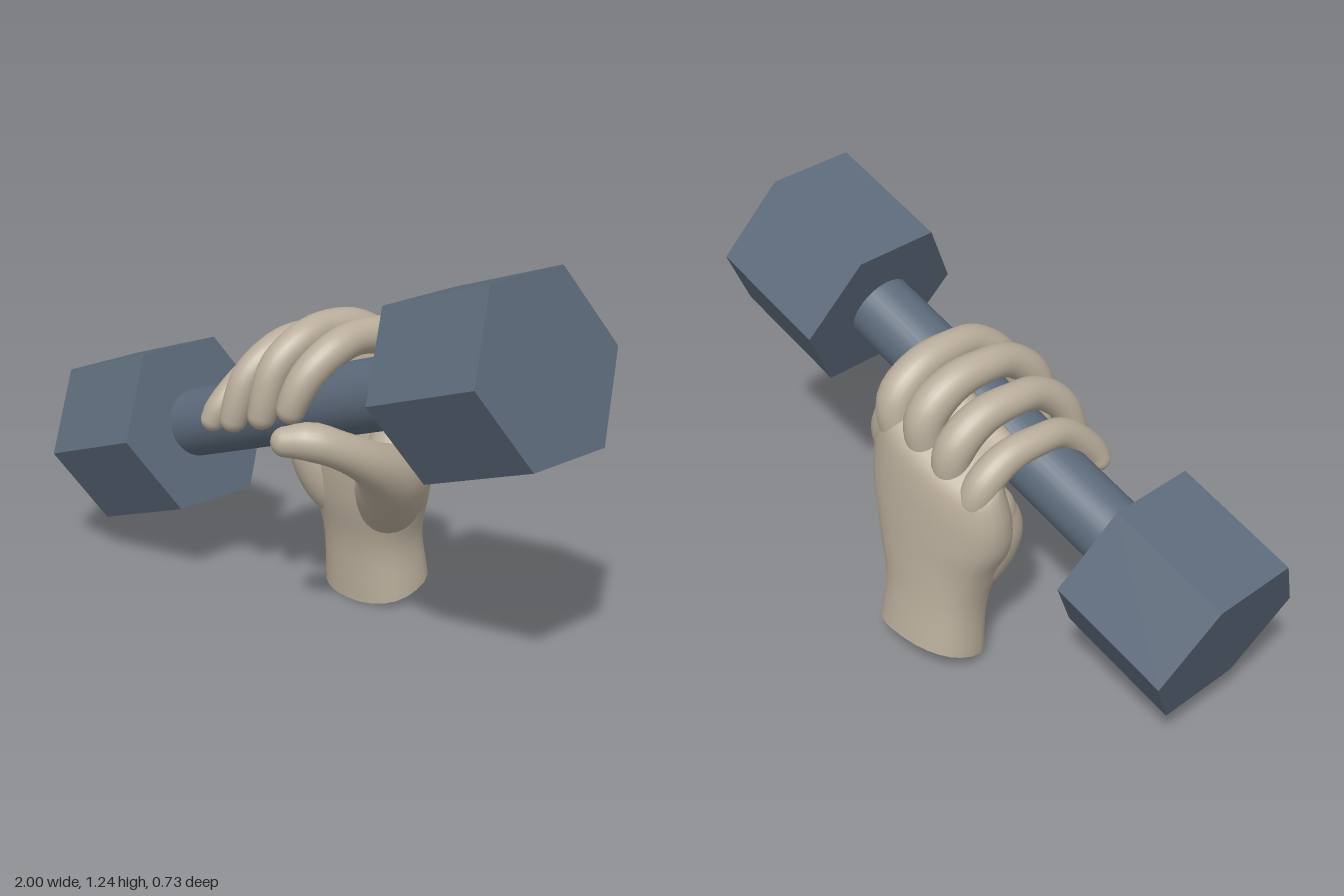
import * as THREE from 'three';

const V = (x, y, z) => new THREE.Vector3(x, y, z);
const SIDES = 24;

const steel = new THREE.MeshStandardMaterial({ color: 0x5c6a7a });
const steelFlat = new THREE.MeshStandardMaterial({ color: 0x5c6a7a, flatShading: true });
const skin = new THREE.MeshStandardMaterial({ color: 0xb9ad9b });

function addMesh(parent, name, geometry, material) {
  const mesh = new THREE.Mesh(geometry, material);
  mesh.name = name;
  parent.add(mesh);
  return mesh;
}

// One cross-section: centre c, half-axes u and v, power below 1 squares the ellipse
function ring(c, u, v, power = 1) {
  const shape = (t) => Math.sign(t) * Math.abs(t) ** power;
  return Array.from({ length: SIDES }, (_, j) => {
    const a = (j / SIDES) * Math.PI * 2;
    return c.clone().addScaledVector(u, shape(Math.cos(a))).addScaledVector(v, shape(Math.sin(a)));
  });
}

// Smooth skin over a list of rings
function loft(rings) {
  const index = [];
  for (let i = 0; i < rings.length - 1; i++) {
    for (let j = 0; j < SIDES; j++) {
      const k = (j + 1) % SIDES;
      const a = i * SIDES + j, b = i * SIDES + k;
      index.push(a, a + SIDES, b, b, a + SIDES, b + SIDES);
    }
  }
  const geometry = new THREE.BufferGeometry().setFromPoints(rings.flat());
  geometry.setIndex(index);
  geometry.computeVertexNormals();
  return geometry;
}

// Tapered tube with a rounded tip; each point is [x, y, z, radius]
function digit(points, steps = 28) {
  const path = new THREE.CatmullRomCurve3(points.map((p) => V(p[0], p[1], p[2])));
  const radii = new THREE.CatmullRomCurve3(points.map((p, i) => V(i, p[3], 0)), false, 'catmullrom', 0.5);
  const frames = path.computeFrenetFrames(steps, false);
  const rings = [];
  const put = (i, centre, r) =>
    rings.push(ring(centre, frames.normals[i].clone().multiplyScalar(r), frames.binormals[i].clone().multiplyScalar(-r)));
  for (let i = 0; i <= steps; i++) {
    const t = path.getUtoTmapping(i / steps);
    put(i, path.getPoint(t), radii.getPoint(t).y);
  }
  const end = points[points.length - 1];
  for (let k = 1; k <= 6; k++) {
    const a = (k / 6) * Math.PI / 2;
    const centre = V(end[0], end[1], end[2]).addScaledVector(frames.tangents[steps], end[3] * Math.sin(a));
    put(steps, centre, Math.max(end[3] * Math.cos(a), 0.0005));
  }
  return loft(rings);
}

function makeDumbbell() {
  const dumbbell = new THREE.Group();
  dumbbell.name = 'dumbbell';
  const bar = addMesh(dumbbell, 'bar', new THREE.CylinderGeometry(0.108, 0.108, 1.2, 32), steel);
  bar.rotation.z = -Math.PI / 2;
  for (const side of [-1, 1]) {
    const head = addMesh(dumbbell, side > 0 ? 'leftWeight' : 'rightWeight',
      new THREE.CylinderGeometry(0.29, 0.29, 0.411, 6), steelFlat);
    head.rotation.z = -Math.PI / 2;
    head.position.x = side * 0.761;
  }
  dumbbell.position.set(0, 0.68, 0.055);
  dumbbell.rotation.set(0, 0.02, 0.338);
  return dumbbell;
}

// Wrist and palm: [x, y, z, halfWidth, halfDepth, roll, pitch]
function palmRings() {
  const stations = [
    [-0.01, 0.045, -0.238, 0.18, 0.135, 0, 0.34],
    [-0.013, 0.21, -0.222, 0.176, 0.122, 0, 0.2],
    [-0.005, 0.35, -0.2, 0.215, 0.13, 0.05, 0.05],
    [-0.01, 0.49, -0.19, 0.262, 0.13, 0.14, 0],
    [-0.02, 0.62, -0.195, 0.268, 0.112, 0.25, 0],
    [-0.025, 0.735, -0.2, 0.25, 0.085, 0.33, -0.35],
    [-0.025, 0.81, -0.165, 0.225, 0.056, 0.37, -0.9],
    [-0.025, 0.83, -0.11, 0.2, 0.038, 0.37, -1.3],
  ];
  const curve = (a, b, c) => new THREE.CatmullRomCurve3(
    stations.map((s) => V(s[a], s[b], s[c])), false, 'catmullrom', 0.5);
  const centres = curve(0, 1, 2), sizes = curve(3, 4, 5), pitches = curve(6, 6, 6);
  const rings = [];
  const put = (t, scale, push) => {
    const size = sizes.getPoint(t), pitch = pitches.getPoint(t).x;
    const roll = new THREE.Matrix4().makeRotationZ(size.z);
    const u = V(size.x * (0.85 + 0.15 * scale) * (scale < 0.01 ? scale : 1), 0, 0).applyMatrix4(roll);
    const v = V(0, -Math.sin(pitch), Math.cos(pitch)).multiplyScalar(size.y * scale).applyMatrix4(roll);
    const c = centres.getPoint(t).addScaledVector(centres.getTangent(t), push);
    rings.push(ring(c, u, v, 0.87));
  };
  for (let i = 0; i <= 36; i++) put(i / 36, 1, 0);
  for (let k = 1; k <= 5; k++) {
    const a = (k / 5) * Math.PI / 2;
    put(1, Math.max(Math.cos(a), 0.001), 0.038 * Math.sin(a));
  }
  return rings;
}

function makeHand() {
  const hand = new THREE.Group();
  hand.name = 'hand';
  const rings = palmRings();
  addMesh(hand, 'palmAndWrist', loft(rings), skin);

  // Flat cut at the wrist
  const centre = V(-0.01, 0.045, -0.238);
  addMesh(hand, 'wristCut', loft([rings[0].map((p) => p.clone().lerp(centre, 0.999)), rings[0]]), skin);

  // Fingers curl over the bar: knuckle x, top x, tip x, top height, tip height, radius
  const fingers = {
    indexFinger: [0.155, 0.14, 0.095, 0.908, 0.735, 0.053],
    middleFinger: [0.03, 0.0, -0.035, 0.906, 0.685, 0.053],
    ringFinger: [-0.09, -0.125, -0.165, 0.848, 0.642, 0.051],
    littleFinger: [-0.195, -0.23, -0.262, 0.757, 0.617, 0.046],
  };
  for (const [name, [kx, tx, ex, top, tip, r]] of Object.entries(fingers)) {
    addMesh(hand, name, digit([
      [kx * 0.85, top - 0.25, -0.215, r * 1.0],
      [kx, top - 0.1, -0.212, r * 1.2],
      [(kx + tx) / 2, top - 0.02, -0.125, r * 1.12],
      [tx, top, -0.01, r],
      [tx, top - 0.02, 0.09, r],
      [(tx + ex) / 2, top - 0.09, 0.175, r * 0.97],
      [ex, tip, 0.212, r * 0.85],
      [ex - 0.003, tip - 0.012, 0.213, r * 0.82],
    ]), skin);
  }

  // Thumb rises from the heel of the palm and closes under the bar
  addMesh(hand, 'thumb', digit([
    [0.07, 0.29, -0.2, 0.085],
    [0.17, 0.41, -0.12, 0.11],
    [0.255, 0.5, -0.03, 0.098],
    [0.295, 0.575, 0.08, 0.069],
    [0.28, 0.64, 0.19, 0.056],
    [0.235, 0.673, 0.265, 0.057],
    [0.185, 0.672, 0.315, 0.045],
  ]), skin);

  // Web between thumb and index finger, and the pad below the little finger
  addMesh(hand, 'thumbWeb', digit([
    [0.15, 0.79, -0.205, 0.06],
    [0.195, 0.68, -0.175, 0.085],
    [0.225, 0.57, -0.105, 0.098],
    [0.245, 0.49, -0.03, 0.085],
  ]), skin);
  addMesh(hand, 'palmPad', digit([
    [-0.09, 0.26, -0.2, 0.075],
    [-0.13, 0.37, -0.15, 0.095],
    [-0.16, 0.47, -0.13, 0.095],
    [-0.17, 0.55, -0.15, 0.08],
  ]), skin);
  return hand;
}

export function createModel() {
  const model = new THREE.Group();
  model.name = 'handHoldingDumbbell';
  model.add(makeDumbbell(), makeHand());
  return model;
}
